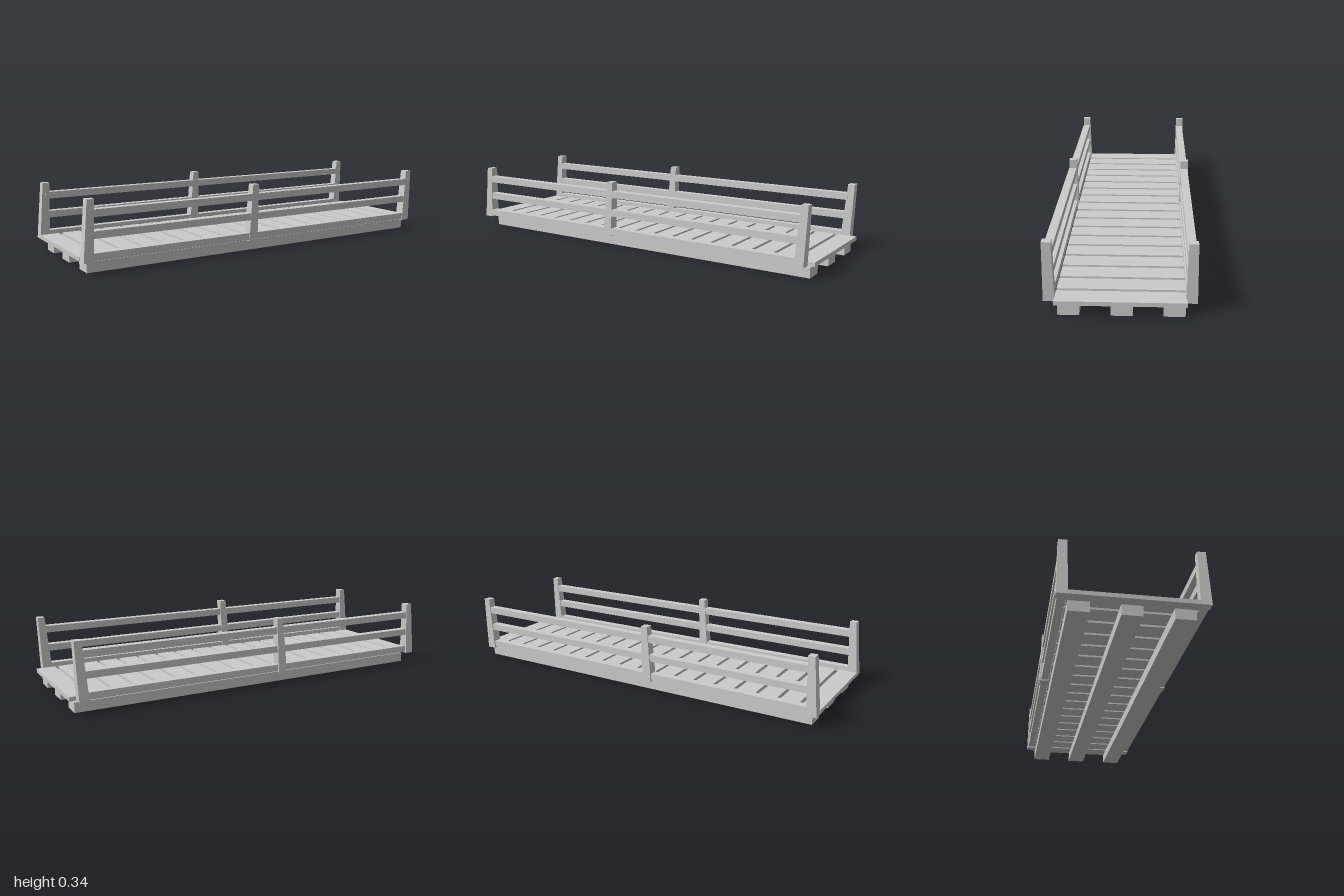
import * as THREE from 'three';

const material = new THREE.MeshStandardMaterial({ color: 0xcccccc, flatShading: true });

// Box given by its minimum and maximum on each axis
function beam(name, [x0, x1], [y0, y1], [z0, z1]) {
  const geometry = new THREE.BoxGeometry(x1 - x0, y1 - y0, z1 - z0);
  const mesh = new THREE.Mesh(geometry, material);
  mesh.position.set((x0 + x1) / 2, (y0 + y1) / 2, (z0 + z1) / 2);
  mesh.name = name;
  return mesh;
}

// Tapered post that leans towards +x
function leaningPost(x, z) {
  const height = 0.282, bottom = 0.048, top = 0.034, depthBottom = 0.05, depthTop = 0.04, lean = 0.018;
  const geometry = new THREE.BoxGeometry(1, height, 1);
  const p = geometry.attributes.position;
  for (let i = 0; i < p.count; i++) {
    const up = p.getY(i) > 0;
    p.setX(i, p.getX(i) * (up ? top : bottom) + (up ? lean : 0));
    p.setZ(i, p.getZ(i) * (up ? depthTop : depthBottom));
  }
  geometry.computeVertexNormals();
  const mesh = new THREE.Mesh(geometry, material);
  mesh.position.set(x, 0.06 + height / 2, z);
  mesh.name = 'railingPost';
  return mesh;
}

export function createModel() {
  const bridge = new THREE.Group();
  bridge.name = 'footbridge';

  // Three long bearers under the deck
  for (const z of [0.222, -0.007, -0.232]) {
    bridge.add(beam('bearer', [-0.965, 0.975], [0, 0.05], [z - 0.047, z + 0.047]));
  }

  // Deck planks laid across with narrow gaps
  const count = 18, width = 0.095;
  for (let i = 0; i < count; i++) {
    const x = -1 + i * (2 - width) / (count - 1);
    bridge.add(beam('deckPlank', [x, x + width], [0.06, 0.08], [-0.285, 0.281]));
  }

  // Railings: three leaning posts and three rails on each side
  for (const side of [1, -1]) {
    const railing = new THREE.Group();
    railing.name = side > 0 ? 'frontRailing' : 'backRailing';
    for (const x of [-0.976, -0.112, 0.942]) railing.add(leaningPost(x, side * 0.305));
    const z = side > 0 ? [0.287, 0.327] : [-0.322, -0.282];
    for (const y of [0.083, 0.182, 0.279]) {
      railing.add(beam('rail', [-0.965, 0.945], [y - 0.017, y + 0.017], z));
    }
    bridge.add(railing);
  }
  return bridge;
}
